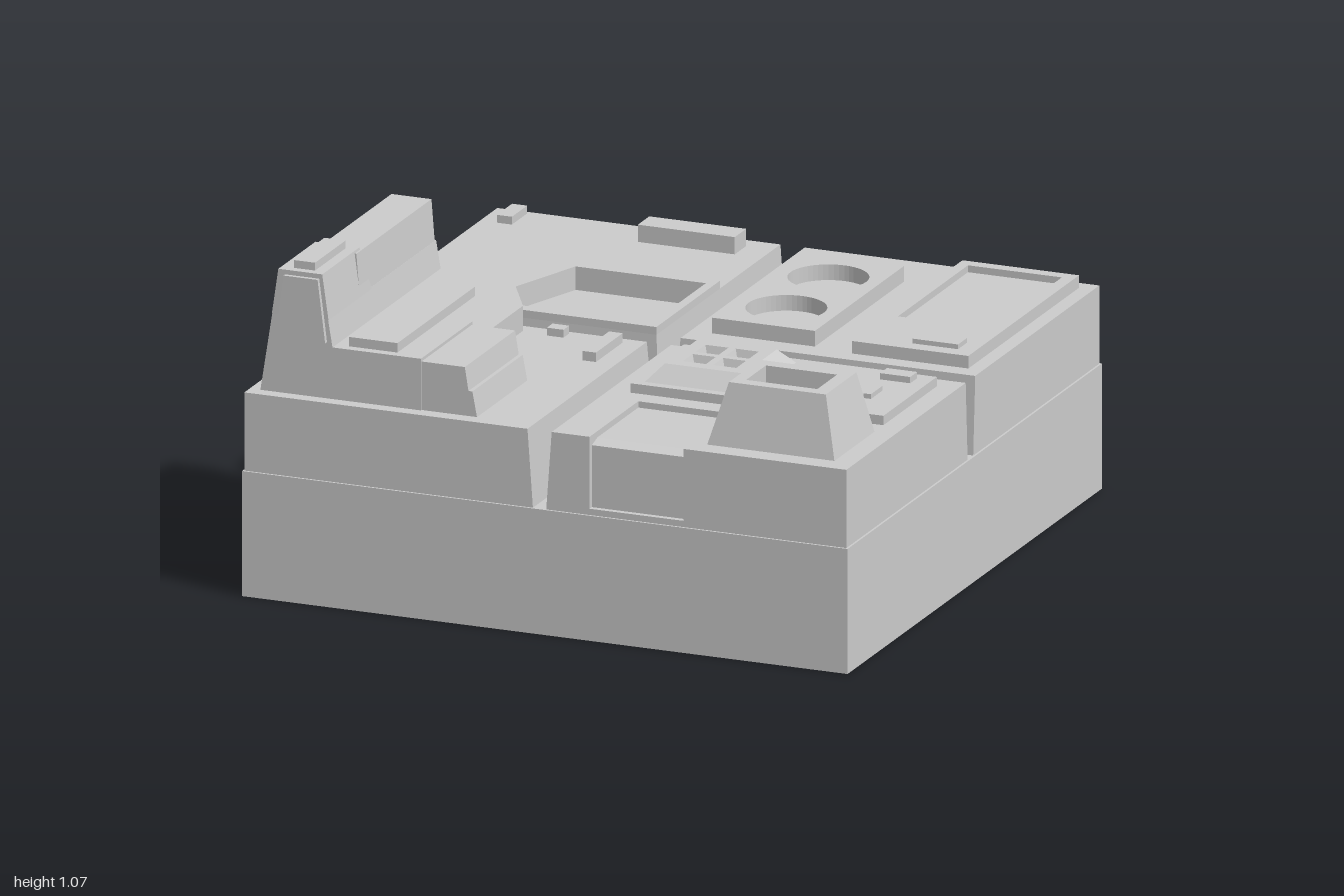
import * as THREE from 'three';

export function createModel() {
  const model = new THREE.Group();
  const material = new THREE.MeshStandardMaterial({ color: 0xcccccc, flatShading: true });
  const add = (name, geometry) => {
    const mesh = new THREE.Mesh(geometry, material);
    mesh.name = name;
    model.add(mesh);
    return mesh;
  };

  const box = (name, x0, x1, y0, y1, z0, z1) =>
    add(name, new THREE.BoxGeometry(x1 - x0, y1 - y0, z1 - z0)
      .translate((x0 + x1) / 2, (y0 + y1) / 2, (z0 + z1) / 2));

  // Rectangle corners, counter-clockwise seen from above, as [x, z]
  const rect = (x0, x1, z0, z1) => [[x0, z1], [x1, z1], [x1, z0], [x0, z0]];

  // Joins stacked loops [points, y] with quads and caps the last one
  const rings = (name, loops, cap = true) => {
    const pos = [];
    const put = ([p, y], i) => { const q = p[i % p.length]; pos.push(q[0], y, q[1]); };
    for (let k = 0; k + 1 < loops.length; k++) {
      const a = loops[k], b = loops[k + 1];
      for (let i = 0; i < a[0].length; i++) {
        put(a, i); put(a, i + 1); put(b, i + 1);
        put(a, i); put(b, i + 1); put(b, i);
      }
    }
    const last = loops[loops.length - 1];
    if (cap) for (let i = 1; i + 1 < last[0].length; i++) { put(last, 0); put(last, i); put(last, i + 1); }
    const g = new THREE.BufferGeometry();
    g.setAttribute('position', new THREE.Float32BufferAttribute(pos, 3));
    g.computeVertexNormals();
    return add(name, g);
  };

  // Plan outline raised from y0 to y1, with optional holes
  const toShape = (pts, Type = THREE.Shape) => new Type(pts.map(([x, z]) => new THREE.Vector2(x, -z)));
  const plate = (name, pts, y0, y1, holes = []) => {
    const shape = toShape(pts);
    shape.holes.push(...holes);
    const g = new THREE.ExtrudeGeometry(shape, { depth: y1 - y0, bevelEnabled: false, curveSegments: 24 });
    return add(name, g.rotateX(-Math.PI / 2).translate(0, y0, 0));
  };
  const hole = (pts) => toShape(pts, THREE.Path);

  // Front profile [x, y] swept along z
  const prismZ = (name, pts, z0, z1) => {
    const shape = new THREE.Shape(pts.map(([x, y]) => new THREE.Vector2(x, y)));
    return add(name, new THREE.ExtrudeGeometry(shape, { depth: z1 - z0, bevelEnabled: false }).translate(0, 0, z0));
  };

  // Base slab
  box('base', -1, 1, 0, 0.4, -1, 1);

  // Four upper blocks; walls along the cross trench lean inward at the foot
  const block = (name, pts, holes) => {
    const p = plate(name, pts, 0.4, 0.65, holes).geometry.attributes.position;
    for (let i = 0; i < p.count; i++) {
      if (p.getY(i) > 0.5) continue;
      const dx = p.getX(i) + 0.02, dz = p.getZ(i) - 0.018;
      if (Math.abs(dx) < 0.05) p.setX(i, -0.02 + Math.sign(dx) * 0.022);
      if (Math.abs(dz) < 0.05) p.setZ(i, 0.018 + Math.sign(dz) * 0.022);
    }
  };
  const pool = [[-0.67, -0.06], [-0.09, -0.06], [-0.09, -0.48], [-0.52, -0.48]];
  const poolRim = [[-0.72, -0.02], [-0.06, -0.02], [-0.06, -0.52], [-0.55, -0.52]];
  block('backRightBlock', rect(-0.995, -0.06, -0.995, -0.02), [hole(pool)]);
  block('backLeftBlock', rect(0.02, 0.993, -0.995, -0.02));
  block('frontRightBlock', rect(-0.995, -0.06, 0.055, 0.993));
  block('frontLeftBlock', [[0.02, 0.993], [0.145, 0.993], [0.145, 0.61], [0.455, 0.61],
    [0.455, 0.993], [0.993, 0.993], [0.993, 0.055], [0.02, 0.055]]);

  // Angular sunken basin with raised rim, and blocks beside it
  rings('sunkenBasin', [[poolRim, 0.65], [poolRim, 0.675], [pool, 0.675], [pool, 0.6]]);
  box('backBar', -0.47, -0.15, 0.65, 0.705, -0.94, -0.85);
  box('cornerStud', -0.94, -0.89, 0.65, 0.675, -0.98, -0.86);

  // Panel with two round wells
  plate('roundWellPanel', rect(0.09, 0.43, -0.8, -0.1), 0.65, 0.7, [-0.61, -0.28].map((z) => {
    const path = new THREE.Path();
    path.absarc(0.26, -z, 0.125, 0, Math.PI * 2);
    return path;
  }));

  // Panel with rectangular recess
  const panel = rect(0.56, 0.945, -0.95, -0.08), recess = rect(0.595, 0.905, -0.91, -0.36);
  rings('recessedPanel', [[panel, 0.65], [panel, 0.69], [recess, 0.69], [recess, 0.668]]);
  box('panelStud', 0.74, 0.89, 0.69, 0.705, -0.2, -0.13);

  // Low slab with studs
  box('lowSlab', 0.09, 0.925, 0.65, 0.68, 0.12, 0.54);
  box('slabStud', 0.775, 0.875, 0.68, 0.7, 0.155, 0.21);
  box('slabStud', 0.8, 0.825, 0.68, 0.695, 0.31, 0.4);

  // Bevelled vent with four tapered square pits
  const ventTop = rect(0.17, 0.43, 0.2, 0.46);
  const square = (x, z, r) => rect(x - r, x + r, z - r, z + r);
  const pits = [[0.25, 0.28], [0.35, 0.28], [0.25, 0.38], [0.35, 0.38]];
  rings('ventSides', [[rect(0.125, 0.475, 0.155, 0.51), 0.68], [ventTop, 0.73]], false);
  const topShape = toShape(ventTop);
  topShape.holes.push(...pits.map(([x, z]) => hole(square(x, z, 0.038))));
  add('ventTop', new THREE.ShapeGeometry(topShape).rotateX(-Math.PI / 2).translate(0, 0.73, 0));
  for (const [x, z] of pits) rings('ventPit', [[square(x, z, 0.038), 0.73], [square(x, z, 0.025), 0.69]]);

  // Hollow tapered tower
  const shaft = rect(0.6, 0.835, 0.69, 0.845);
  rings('hollowTower', [[rect(0.505, 0.925, 0.61, 0.925), 0.65],
    [rect(0.56, 0.88, 0.645, 0.885), 0.845], [shaft, 0.845], [shaft, 0.7]]);

  // Inset front ramp with sill
  rings('insetRamp', [[rect(0.145, 0.455, 0.61, 0.975), 0.4], [rect(0.145, 0.455, 0.61, 0.975), 0.618],
    [rect(0.145, 0.455, 0.61, 0.93), 0.63]]);
  box('rampSill', 0.145, 0.455, 0.4, 0.42, 0.96, 0.993);

  // Long stepped building: wall, terrace and side wing
  prismZ('longBuilding', [[-0.96, 0.65], [-0.45, 0.65], [-0.45, 0.73], [-0.485, 0.815],
    [-0.722, 0.815], [-0.737, 0.905], [-0.92, 0.905]], 0.1, 0.95);
  prismZ('terraceFront', [[-0.6, 0.65], [-0.43, 0.65], [-0.43, 0.815], [-0.6, 0.815]], 0.545, 0.95);
  prismZ('sideWing', [[-0.46, 0.65], [-0.247, 0.65], [-0.262, 0.73], [-0.275, 0.73],
    [-0.287, 0.805], [-0.46, 0.805]], 0.55, 0.945);
  box('terraceSlab', -0.68, -0.52, 0.815, 0.845, 0.31, 0.92);

  // Upper ridge and raised head of the wall
  rings('upperRidge', [[rect(-0.885, -0.737, 0.11, 0.7), 0.9], [rect(-0.88, -0.748, 0.11, 0.7), 1.037]]);
  rings('wallHead', [[rect(-0.922, -0.735, 0.61, 0.95), 0.9], [rect(-0.9, -0.755, 0.66, 0.952), 1.045]]);
  rings('headFrontPanel', [[rect(-0.905, -0.74, 0.94, 0.965), 0.83], [rect(-0.878, -0.765, 0.94, 0.965), 1.03]]);
  box('headCap', -0.86, -0.79, 1.04, 1.07, 0.685, 0.925);

  // Loose studs near the trench
  box('trenchStud', -0.365, -0.31, 0.65, 0.675, 0.07, 0.115);
  box('trenchStud', -0.17, -0.125, 0.65, 0.68, 0.09, 0.3);
  return model;
}
